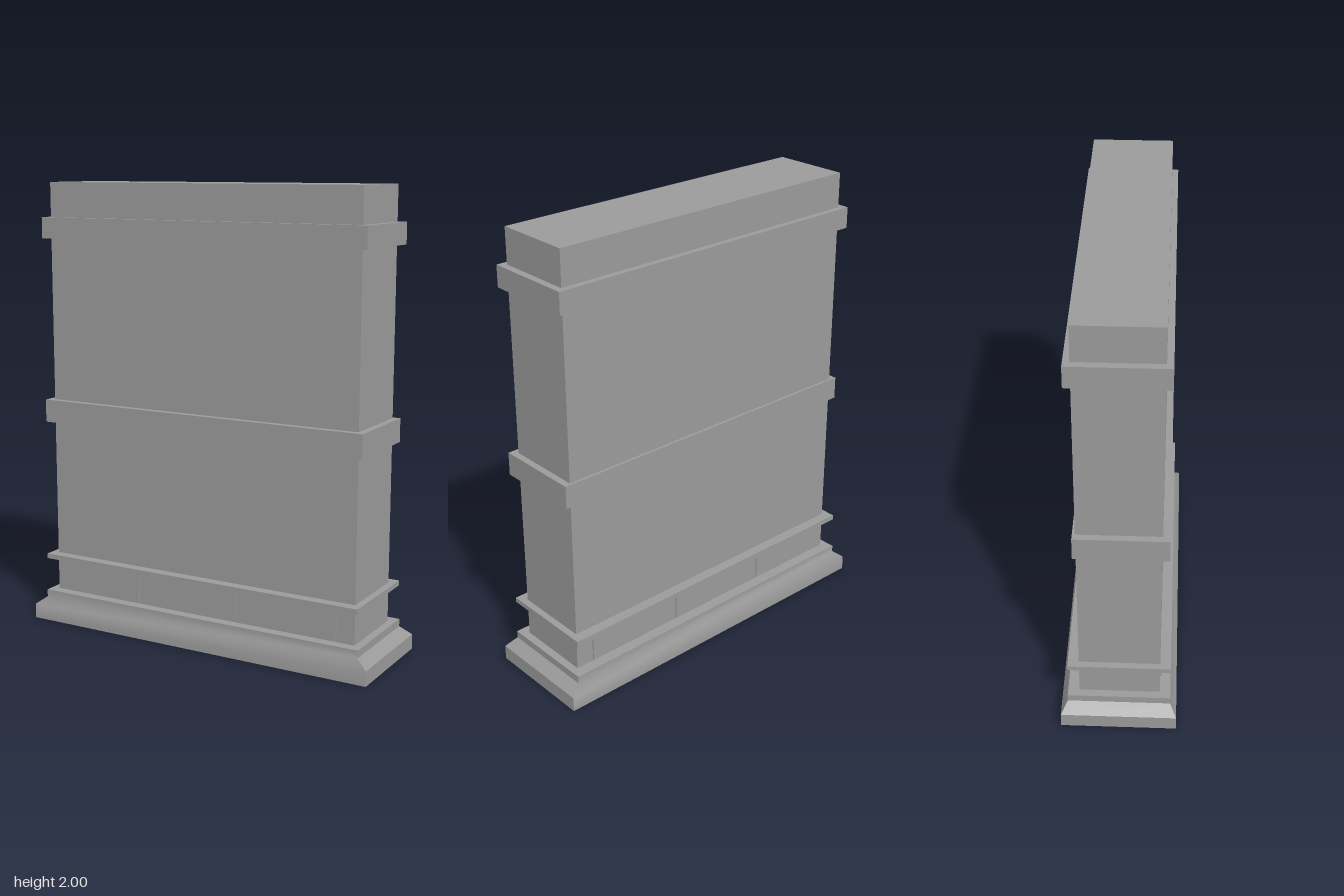
import * as THREE from 'three';
import { toCreasedNormals } from 'three/addons/utils/BufferGeometryUtils.js';

const HX = 0.75, ZF = 0.174, ZB = -0.172;
const material = new THREE.MeshStandardMaterial({ color: 0x9a9a9a, side: THREE.DoubleSide });

// Hollow rectangular shell lofted through rows of [y, half width, front z, back z]
function shell(rows) {
  const pos = [], index = [];
  for (const [y, hx, zf, zb] of rows) pos.push(hx, y, zf, hx, y, zb, -hx, y, zb, -hx, y, zf);
  for (let r = 0; r < rows.length - 1; r++) {
    for (let k = 0; k < 4; k++) {
      const a = r * 4 + k, b = r * 4 + (k + 1) % 4;
      index.push(a, b, b + 4, a, b + 4, a + 4);
    }
  }
  const g = new THREE.BufferGeometry();
  g.setAttribute('position', new THREE.Float32BufferAttribute(pos, 3));
  g.setIndex(index);
  return toCreasedNormals(g, 0.8);
}

function add(parent, name, geometry, x = 0, y = 0, z = 0) {
  const mesh = new THREE.Mesh(geometry, material);
  mesh.name = name;
  mesh.position.set(x, y, z);
  parent.add(mesh);
  return mesh;
}

// Protruding band wrapped around the body
const band = (y0, y1, hx, zf, zb) => shell([
  [y0, HX, ZF, ZB], [y0, hx, zf, zb], [y1, hx, zf, zb], [y1, HX, ZF, ZB],
]);

// Wall section holding three shallow embossed panels, facing +z
function panelWall(name, z, y0, y1) {
  const group = new THREE.Group();
  group.name = name;
  const wall = new THREE.Shape();
  wall.moveTo(-HX, y0).lineTo(HX, y0).lineTo(HX, y1).lineTo(-HX, y1).closePath();
  const bottom = 0.143, top = 0.278, depth = 0.006;
  for (const [x0, x1] of [[-0.667, -0.303], [-0.197, 0.197], [0.303, 0.667]]) {
    const hole = new THREE.Path();
    hole.moveTo(x0, bottom).lineTo(x0, top).lineTo(x1, top).lineTo(x1, bottom).closePath();
    wall.holes.push(hole);
    // Box without its rear face
    const box = new THREE.BoxGeometry(x1 - x0, top - bottom, depth);
    box.setIndex(Array.from(box.index.array).slice(0, 30));
    box.clearGroups();
    add(group, 'panel', box, (x0 + x1) / 2, (bottom + top) / 2, z + depth / 2);
  }
  add(group, 'panelSurround', new THREE.ShapeGeometry(wall), 0, 0, z);
  return group;
}

export function createModel() {
  const model = new THREE.Group();
  model.name = 'pedestalBlock';

  // Open-bottomed plinth with a sloped moulding
  add(model, 'plinth', shell([
    [0, 0.835, 0.247, -0.249], [0.066, 0.835, 0.247, -0.249],
    [0.103, 0.785, 0.22, -0.221], [0.136, 0.785, 0.22, -0.221], [0.136, HX, ZF, ZB],
  ]));

  // Panelled lower section
  const front = panelWall('frontPanels', ZF, 0.136, 0.288);
  const back = panelWall('backPanels', -ZB, 0.136, 0.288);
  back.rotation.y = Math.PI;
  model.add(front, back);
  for (const s of [-1, 1]) {
    const side = add(model, 'lowerSide', new THREE.PlaneGeometry(ZF - ZB, 0.152), s * HX, 0.212, (ZF + ZB) / 2);
    side.rotation.y = s * Math.PI / 2;
  }

  // Plain shaft sections and the bands between them
  const shafts = [[0.31, 0.928], [1.03, 1.754], [1.847, 2]];
  for (const [y0, y1] of shafts) add(model, 'shaft', shell([[y0, HX, ZF, ZB], [y1, HX, ZF, ZB]]));
  add(model, 'ledge', band(0.288, 0.31, 0.78, 0.22, -0.219));
  add(model, 'middleBand', band(0.928, 1.03, 0.78, 0.204, -0.184));
  add(model, 'upperBand', band(1.754, 1.847, 0.781, 0.2, -0.199));

  // Flat top
  const cap = add(model, 'topFace', new THREE.PlaneGeometry(2 * HX, ZF - ZB), 0, 2, (ZF + ZB) / 2);
  cap.rotation.x = -Math.PI / 2;

  return model;
}
